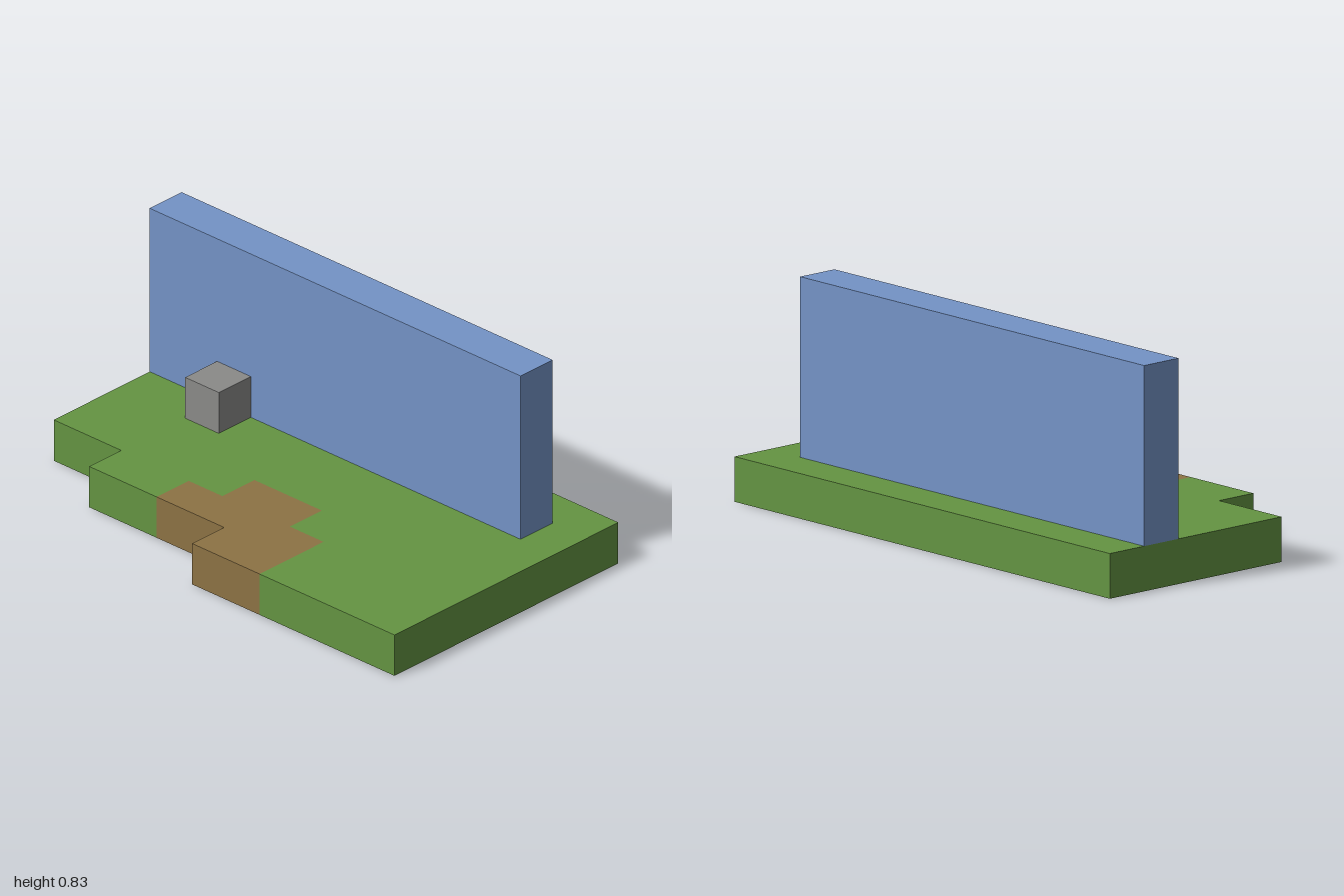
import * as THREE from 'three';

const U = 1 / 6; // one block

function material(name, color) {
  const m = new THREE.MeshStandardMaterial({ color });
  m.name = name;
  return m;
}

// Slab one block thick, outlined by [x, z] corners in blocks
function slab(name, corners, mat) {
  const shape = new THREE.Shape(corners.map(([x, z]) => new THREE.Vector2(x * U, z * U)));
  const geo = new THREE.ExtrudeGeometry(shape, { depth: U, bevelEnabled: false });
  geo.rotateX(Math.PI / 2).translate(0, U, 0);
  const mesh = new THREE.Mesh(geo, mat);
  mesh.name = name;
  return mesh;
}

// Box between two corners, in blocks
function block(name, min, max, mat) {
  const size = max.map((v, i) => (v - min[i]) * U);
  const mesh = new THREE.Mesh(new THREE.BoxGeometry(...size), mat);
  mesh.position.set(...max.map((v, i) => ((v + min[i]) / 2) * U));
  mesh.name = name;
  return mesh;
}

export function createModel() {
  const grass = material('grass green', 0x649442);
  const dirt = material('dirt brown', 0x8c7244);
  const blue = material('wall blue', 0x7493c6);
  const stone = material('stone grey', 0x8a8a88);

  const model = new THREE.Group();
  model.name = 'blockScene';
  model.add(
    // Stepped ground with a notch that the dirt patch fills
    slab('grassGround', [
      [-6, -3.5], [6, -3.5], [6, 3.5], [2, 3.5], [2, 1.5], [1, 1.5], [1, 0.5],
      [-1, 0.5], [-1, 1.5], [-2, 1.5], [-2, 2.5], [-4, 2.5], [-4, 1.5], [-6, 1.5],
    ], grass),
    slab('dirtPatch', [
      [-1, 0.5], [1, 0.5], [1, 1.5], [2, 1.5], [2, 3.5],
      [0, 3.5], [0, 2.5], [-2, 2.5], [-2, 1.5], [-1, 1.5],
    ], dirt),
    // Tall wall and the stone in front of it
    block('blueWall', [-6, 1, -2.5], [5, 5, -1.5], blue),
    block('stoneBlock', [-4, 1, -1.5], [-3, 2, -0.5], stone),
  );
  return model;
}
